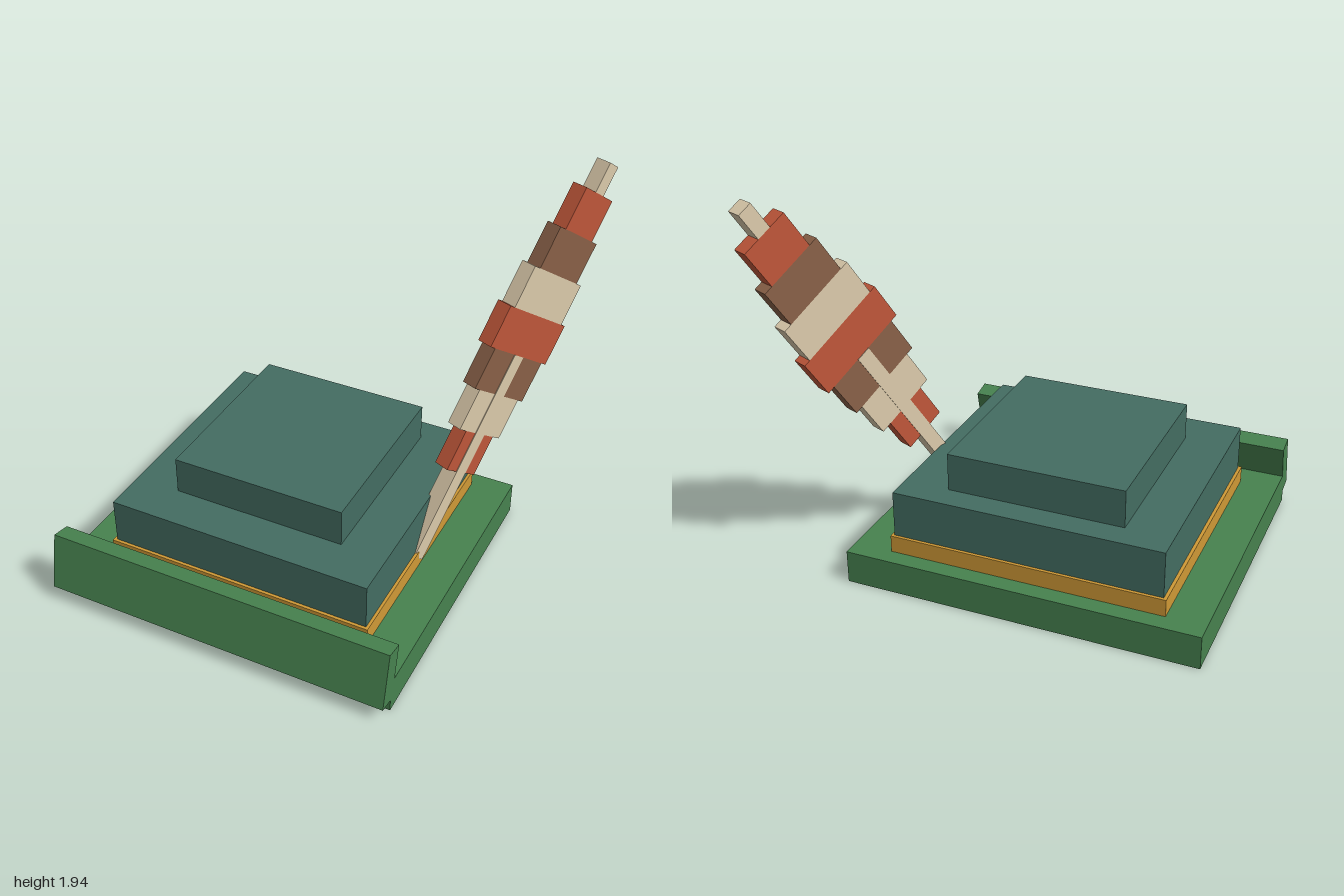
import * as THREE from 'three';

const mat = (name, color) => {
  const m = new THREE.MeshStandardMaterial({ color });
  m.name = name;
  return m;
};

export function createModel() {
  const green = mat('leaf green', 0x47824f);
  const teal = mat('dark teal', 0x446d62);
  const gold = mat('gold', 0xd09a36);
  const red = mat('brick red', 0xc0573a);
  const brown = mat('brown', 0x8a6148);
  const cream = mat('cream', 0xdccbac);

  const model = new THREE.Group();
  model.name = 'inkDeskSet';

  // Box given by its min and max corners
  const block = (parent, name, material, [x0, y0, z0], [x1, y1, z1]) => {
    const mesh = new THREE.Mesh(new THREE.BoxGeometry(x1 - x0, y1 - y0, z1 - z0), material);
    mesh.position.set((x0 + x1) / 2, (y0 + y1) / 2, (z0 + z1) / 2);
    mesh.name = name;
    parent.add(mesh);
    return mesh;
  };

  // Stepped base
  block(model, 'basePlate', green, [-1, 0, -0.653], [0.74, 0.165, 0.882]);
  block(model, 'goldTrim', gold, [-0.81, 0.165, -0.568], [0.546, 0.25, 0.712]);
  block(model, 'lowerStep', teal, [-0.794, 0.25, -0.553], [0.532, 0.48, 0.697]);
  block(model, 'upperStep', teal, [-0.565, 0.48, -0.428], [0.305, 0.667, 0.487]);

  // Front lip, leaning back
  const lip = block(model, 'frontLip', green, [-1, 0, 0], [0.74, 0.285, 0.098]);
  lip.position.set(-0.13, 0.207, 0.885);
  lip.rotation.x = -0.21;

  // Leaning feather: local y runs along the shaft, local x across the vane
  const feather = new THREE.Group();
  feather.name = 'feather';
  feather.position.set(0.522, 0.25, 0.078);
  feather.rotation.set(0, THREE.MathUtils.degToRad(66.7), THREE.MathUtils.degToRad(-33.5), 'YXZ');
  model.add(feather);

  const mid = -0.014, half = 0.039, rowStart = 0.41, rowLength = 0.205;
  const rows = [[0.113, red], [0.165, cream], [0.203, brown], [0.24, red],
    [0.207, cream], [0.165, brown], [0.121, red]];
  rows.forEach(([w, material], i) => {
    const y = rowStart + i * rowLength;
    block(feather, 'vaneRow' + (i + 1), material, [mid - w, y, -half], [mid + w, y + rowLength, half]);
  });

  // Shaft stands just proud of the lower rows, and emerges again at the tip
  const tipStart = rowStart + rows.length * rowLength;
  block(feather, 'shaft', cream, [mid - 0.036, -0.06, -half - 0.003], [mid + 0.036, rowStart + 3 * rowLength, half + 0.003]);
  block(feather, 'shaftTip', cream, [mid - 0.036, tipStart, -half], [mid + 0.036, 1.99, half]);

  return model;
}
